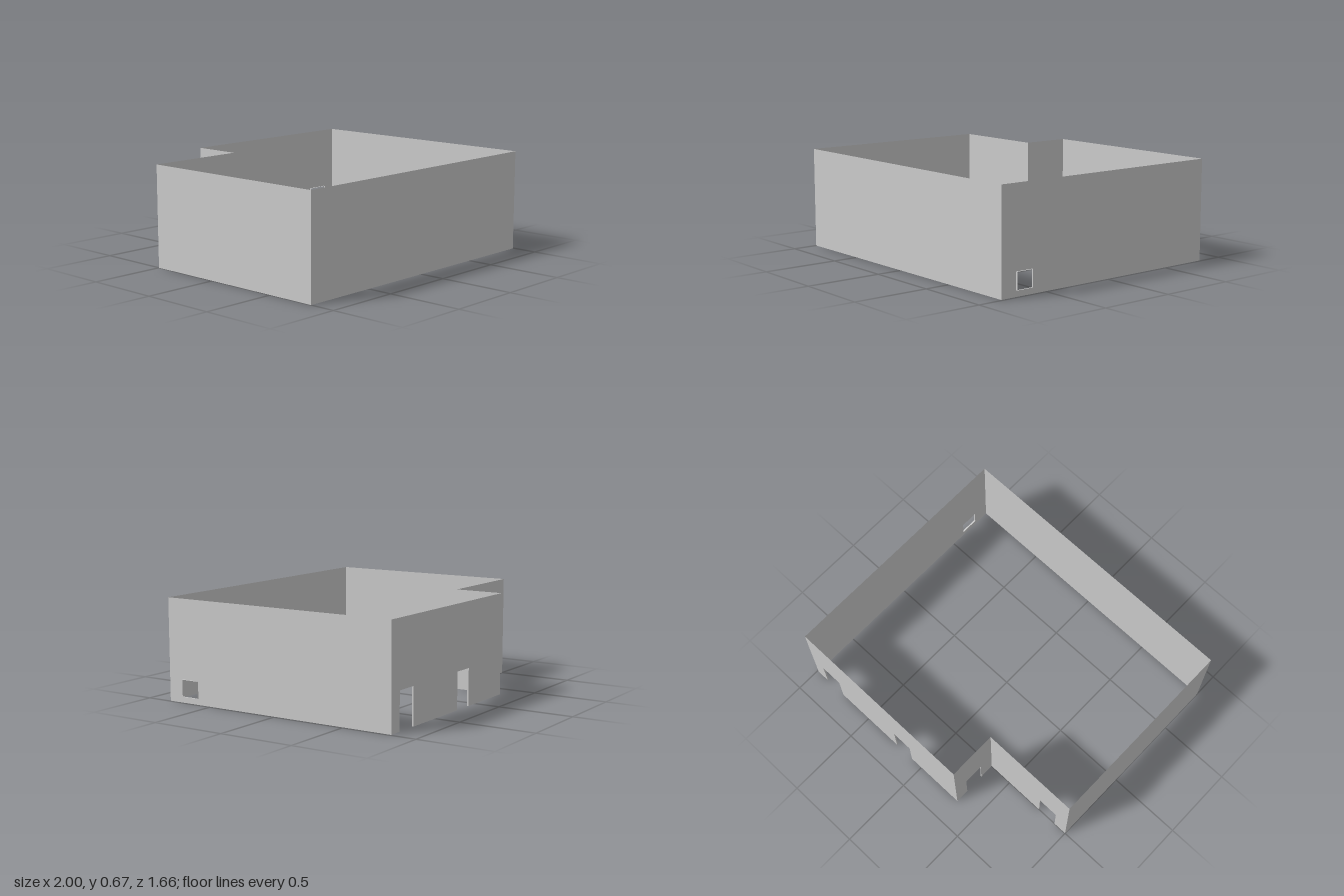
import * as THREE from 'three';

const HEIGHT = 0.665;
const material = new THREE.MeshStandardMaterial({ color: 0xcccccc, side: THREE.DoubleSide, flatShading: true });

// Footprint corners [x, z], walked so that each wall's local +z points outward
const corners = [
  [-1, 0.83], [0.99, 0.83], [0.99, -0.83], [-0.335, -0.83], [-0.335, -0.5], [-1, -0.5],
];

// Openings are [start, end, bottom, top] along the wall; depth is the lining's reach (+ outward, - inward)
const walls = [
  { name: 'frontWall', openings: [] },
  { name: 'leftWall', openings: [{ name: 'window', box: [0.11, 0.23, 0.04, 0.15], depth: 0.01 }] },
  { name: 'backWall', openings: [
    { name: 'backDoorOuter', box: [0.09, 0.243, 0, 0.243], depth: -0.01 },
    { name: 'backDoorInner', box: [0.76, 0.902, 0, 0.243], depth: -0.01 },
  ] },
  { name: 'recessSideWall', openings: [{ name: 'recessSideDoor', box: [0.095, 0.23, 0, 0.243], depth: -0.006 }] },
  { name: 'recessBackWall', openings: [{ name: 'recessBackDoor', box: [0.432, 0.571, 0, 0.243], depth: -0.006 }] },
  { name: 'rightWall', openings: [] },
];

// Flat sheet with door notches cut from the bottom edge and window holes
function wallSheet(length, openings) {
  const shape = new THREE.Shape();
  shape.moveTo(0, 0);
  for (const { box: [a, b, bottom, top] } of openings) {
    if (bottom > 0) {
      const hole = new THREE.Path();
      hole.moveTo(a, bottom).lineTo(a, top).lineTo(b, top).lineTo(b, bottom).closePath();
      shape.holes.push(hole);
    } else {
      shape.lineTo(a, 0).lineTo(a, top).lineTo(b, top).lineTo(b, 0);
    }
  }
  shape.lineTo(length, 0).lineTo(length, HEIGHT).lineTo(0, HEIGHT).closePath();
  return new THREE.Mesh(new THREE.ShapeGeometry(shape), material);
}

// Thin strips lining the edges of an opening
function lining({ name, box: [a, b, bottom, top], depth }) {
  const group = new THREE.Group();
  group.name = name + 'Lining';
  const d = Math.abs(depth);
  const jamb = new THREE.PlaneGeometry(d, top - bottom).rotateY(Math.PI / 2);
  const bar = new THREE.PlaneGeometry(b - a, d).rotateX(Math.PI / 2);
  const add = (part, geometry, x, y) => {
    const mesh = new THREE.Mesh(geometry, material);
    mesh.name = part;
    mesh.position.set(x, y, depth / 2);
    group.add(mesh);
  };
  add('jamb', jamb, a, (bottom + top) / 2);
  add('jamb', jamb, b, (bottom + top) / 2);
  add('head', bar, (a + b) / 2, top);
  if (bottom > 0) add('sill', bar, (a + b) / 2, bottom);
  return group;
}

export function createModel() {
  const model = new THREE.Group();
  model.name = 'roomShell';
  walls.forEach(({ name, openings }, i) => {
    const [x0, z0] = corners[i];
    const [x1, z1] = corners[(i + 1) % corners.length];
    const wall = new THREE.Group();
    wall.name = name;
    const sheet = wallSheet(Math.hypot(x1 - x0, z1 - z0), openings);
    sheet.name = name + 'Sheet';
    wall.add(sheet, ...openings.map(lining));
    wall.position.set(x0, 0, z0);
    wall.rotation.y = Math.atan2(z0 - z1, x1 - x0);
    model.add(wall);
  });
  return model;
}
